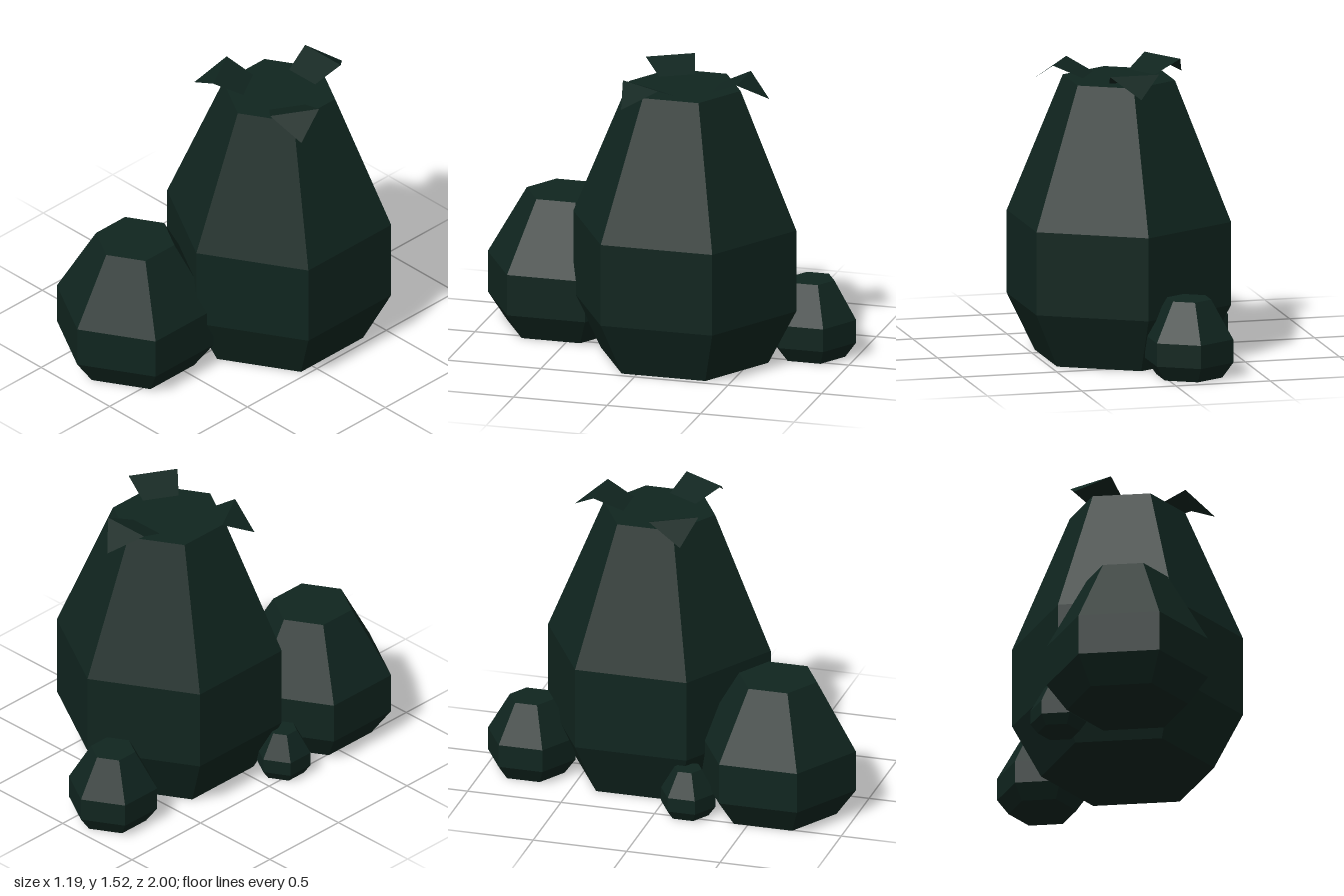
import * as THREE from 'three';

const bagMaterial = new THREE.MeshStandardMaterial({ color: 0x10251f, flatShading: true });
const flapMaterial = new THREE.MeshStandardMaterial({ color: 0x10251f, flatShading: true, side: THREE.DoubleSide });

// Closed six-sided sack: narrow foot, wide belly, tapered shoulders
function makeBag(name, x, z, radius, height) {
  const profile = [[0, 0], [0.75, 0], [1, 0.2], [1, 0.5], [0.5, 1], [0, 1]]
    .map(([r, y]) => new THREE.Vector2(r * radius, y * height));
  const bag = new THREE.Mesh(new THREE.LatheGeometry(profile, 6), bagMaterial);
  bag.name = name;
  bag.position.set(x, 0, z);
  return bag;
}

// Thin folded flap: rises from its inner edge, then droops to a point (towards -z)
function makeFlapGeometry() {
  const geometry = new THREE.BufferGeometry();
  geometry.setAttribute('position', new THREE.Float32BufferAttribute([
    -0.095, 0.005, -0.165,
    0.095, 0.005, -0.165,
    0.13, 0.07, -0.315,
    -0.13, 0.07, -0.315,
    0, -0.03, -0.452,
  ], 3));
  geometry.setIndex([0, 1, 2, 0, 2, 3, 3, 2, 4]);
  const flat = geometry.toNonIndexed();
  flat.computeVertexNormals();
  return flat;
}

export function createModel() {
  const group = new THREE.Group();
  group.name = 'trashBags';

  // Bags, from the largest to the smallest
  group.add(
    makeBag('largeBag', 0.077, -0.145, 0.596, 1.45),
    makeBag('mediumBag', -0.236, 0.583, 0.417, 0.725),
    makeBag('smallBag', -0.132, -0.766, 0.234, 0.405),
    makeBag('tinyBag', -0.44, 0.163, 0.145, 0.252),
  );

  // Three tie flaps around the top of the large bag
  const flapGeometry = makeFlapGeometry();
  for (let i = 0; i < 3; i++) {
    const flap = new THREE.Mesh(flapGeometry, flapMaterial);
    flap.name = `tieFlap${i + 1}`;
    flap.position.set(0.077, 1.45, -0.145);
    flap.rotation.y = (i * Math.PI * 2) / 3;
    group.add(flap);
  }
  return group;
}
